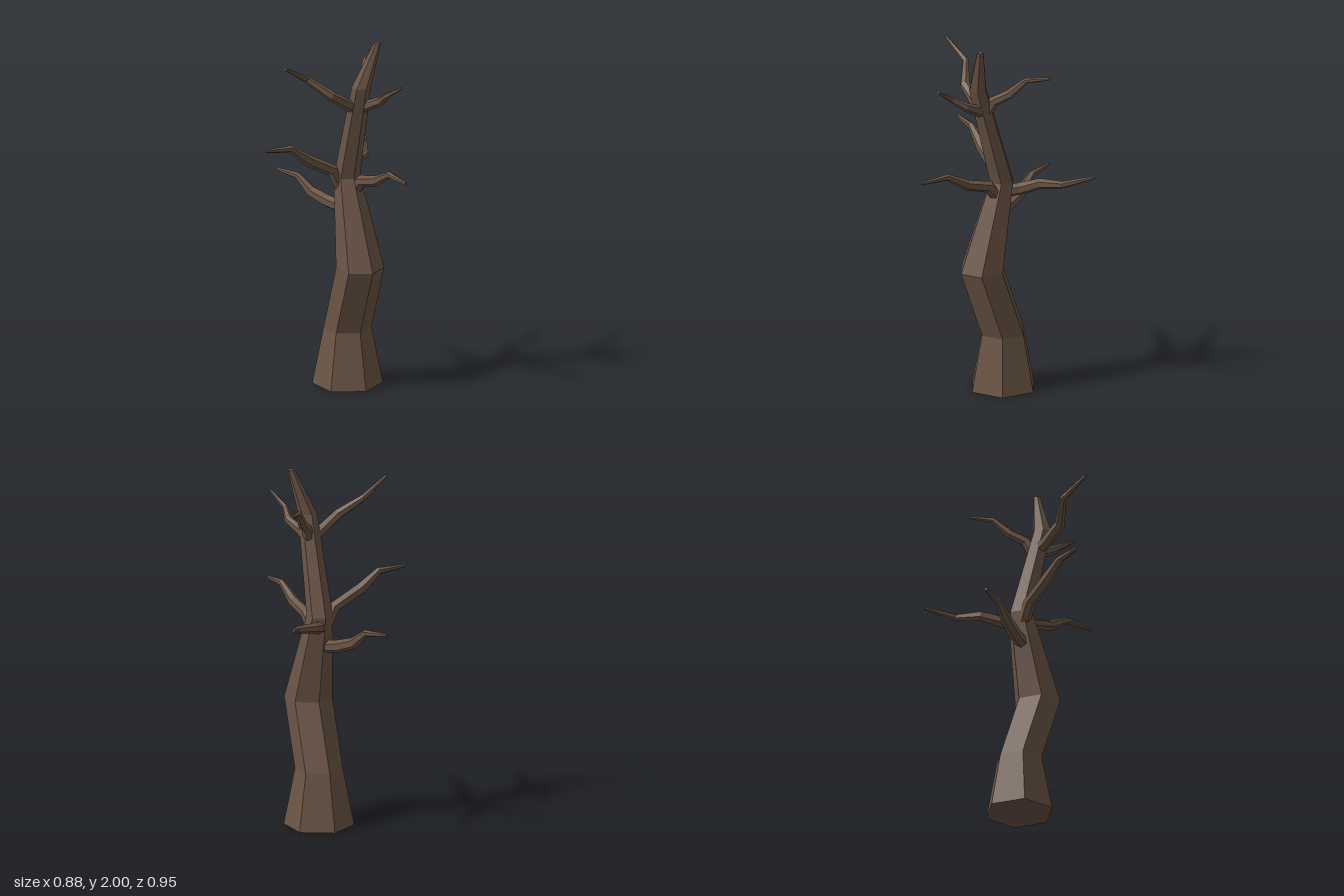
import * as THREE from 'three';

const SIDES = 6;
const UP = new THREE.Vector3(0, 1, 0);

// Six-sided capped skin through stations [x, y, z, radius].
// Level rings suit the trunk; otherwise rings are square to the path.
function limbGeometry(stations, level) {
  const centres = stations.map(([x, y, z]) => new THREE.Vector3(x, y, z));
  const last = centres.length - 1;
  const rings = centres.map((c, i) => {
    const t = UP.clone();
    if (!level) {
      t.set(0, 0, 0);
      if (i > 0) t.add(c.clone().sub(centres[i - 1]).normalize());
      if (i < last) t.add(centres[i + 1].clone().sub(c).normalize());
      t.normalize();
    }
    const u = level
      ? new THREE.Vector3(0, 0, 1)
      : UP.clone().addScaledVector(t, -UP.dot(t)).normalize();
    const v = t.clone().cross(u);
    return Array.from({ length: SIDES }, (_, j) => {
      const a = (j / SIDES) * Math.PI * 2;
      return c.clone()
        .addScaledVector(u, Math.cos(a) * stations[i][3])
        .addScaledVector(v, Math.sin(a) * stations[i][3]);
    });
  });

  const points = [];
  for (let j = 0; j < SIDES; j++) {
    const k = (j + 1) % SIDES;
    for (let i = 0; i < last; i++) {
      const a = rings[i], b = rings[i + 1];
      points.push(a[j], a[k], b[k], a[j], b[k], b[j]);
    }
    points.push(centres[0], rings[0][k], rings[0][j]);
    points.push(centres[last], rings[last][j], rings[last][k]);
  }
  const geometry = new THREE.BufferGeometry().setFromPoints(points);
  geometry.computeVertexNormals();
  return geometry;
}

export function createModel() {
  const bark = new THREE.MeshStandardMaterial({ color: 0x6b5545, flatShading: true });
  bark.name = 'brown bark';
  const tree = new THREE.Group();
  tree.name = 'bareTree';

  const addLimb = (name, stations, level = false) => {
    const mesh = new THREE.Mesh(limbGeometry(stations, level), bark);
    mesh.name = name;
    tree.add(mesh);
  };

  // Crooked trunk, flared at the foot
  addLimb('trunk', [
    [0.085, 0, -0.065, 0.195],
    [0.085, 0.32, -0.065, 0.133],
    [0.085, 0.7, 0.067, 0.133],
    [0.078, 1.2, -0.06, 0.073],
    [0.078, 1.75, 0.09, 0.053],
    [0.163, 2, 0.122, 0.02],
  ], true);

  // Lower branches
  addLimb('lowerRightBranch', [
    [0.04, 1.14, -0.07, 0.035],
    [-0.01, 1.24, -0.07, 0.035],
    [-0.17, 1.325, -0.073, 0.034],
    [-0.28, 1.41, -0.07, 0.021],
    [-0.44, 1.42, -0.075, 0.009],
  ]);
  addLimb('lowerBackBranch', [
    [0.05, 1.02, -0.07, 0.036],
    [0.01, 1.04, -0.16, 0.036],
    [-0.035, 1.075, -0.25, 0.032],
    [-0.07, 1.15, -0.335, 0.02],
    [-0.13, 1.165, -0.475, 0.009],
  ]);
  addLimb('lowerBackLeftBranch', [
    [0.09, 1.14, -0.07, 0.035],
    [0.13, 1.155, -0.15, 0.035],
    [0.2, 1.19, -0.24, 0.03],
    [0.345, 1.215, -0.3, 0.02],
    [0.435, 1.26, -0.45, 0.009],
  ]);
  addLimb('lowerFrontBranch', [
    [0.105, 1.12, -0.02, 0.035],
    [0.11, 1.19, 0.04, 0.034],
    [0.12, 1.225, 0.18, 0.03],
    [0.125, 1.295, 0.31, 0.019],
    [0.13, 1.285, 0.475, 0.009],
  ]);

  // Upper branches
  addLimb('upperRightBranch', [
    [0.07, 1.62, 0.05, 0.033],
    [0.01, 1.65, 0.06, 0.033],
    [-0.105, 1.725, 0.07, 0.029],
    [-0.22, 1.82, 0, 0.019],
    [-0.38, 1.915, 0.035, 0.009],
  ]);
  addLimb('upperBackLeftBranch', [
    [0.095, 1.61, 0.04, 0.03],
    [0.12, 1.685, 0.015, 0.029],
    [0.18, 1.735, -0.055, 0.026],
    [0.24, 1.82, -0.125, 0.017],
    [0.33, 1.84, -0.22, 0.008],
  ]);
  addLimb('upperFrontBranch', [
    [0.09, 1.61, 0.05, 0.031],
    [0.105, 1.645, 0.11, 0.03],
    [0.14, 1.69, 0.2, 0.025],
    [0.122, 1.74, 0.28, 0.016],
    [0.158, 1.81, 0.383, 0.008],
  ]);

  return tree;
}
